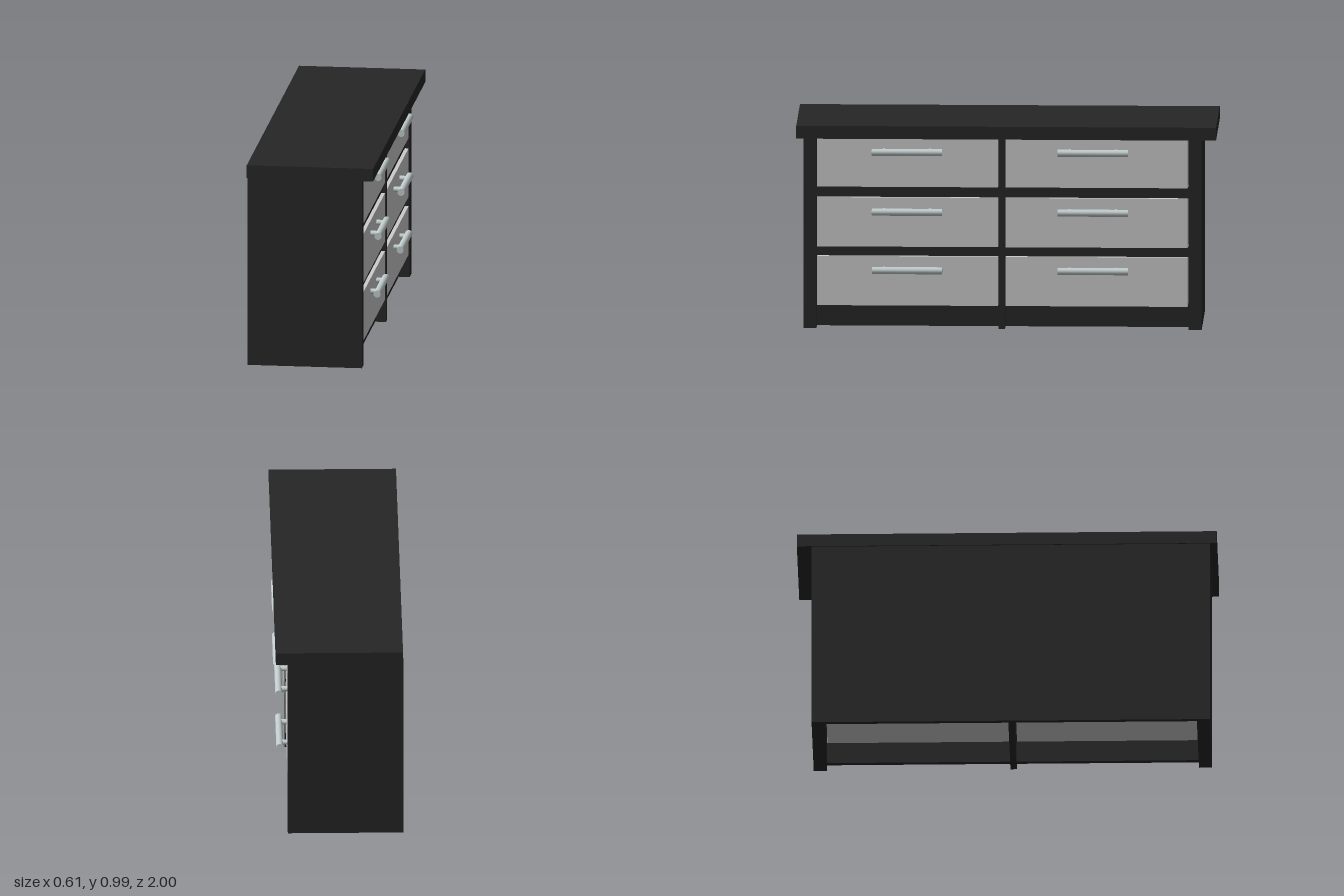
import * as THREE from 'three';

const dark = new THREE.MeshStandardMaterial({ color: 0x262626 });
const grey = new THREE.MeshStandardMaterial({ color: 0xcccccc });
const metal = new THREE.MeshStandardMaterial({ color: 0xc2cccc });

// Box given by its limits on each axis
function box(name, material, [x0, x1], [y0, y1], [z0, z1]) {
  const mesh = new THREE.Mesh(new THREE.BoxGeometry(x1 - x0, y1 - y0, z1 - z0), material);
  mesh.position.set((x0 + x1) / 2, (y0 + y1) / 2, (z0 + z1) / 2);
  mesh.name = name;
  return mesh;
}

// Bar handle along z, held by two short posts
function makeHandle(x, y, z, faceX) {
  const handle = new THREE.Group();
  handle.name = 'handle';
  const bar = new THREE.Mesh(new THREE.CylinderGeometry(0.017, 0.017, 0.335, 24), metal);
  bar.name = 'handleBar';
  bar.rotation.x = Math.PI / 2;
  bar.position.set(x, y, z);
  handle.add(bar);
  for (const side of [-1, 1]) {
    const length = x - faceX;
    const post = new THREE.Mesh(new THREE.CylinderGeometry(0.013, 0.013, length, 20), metal);
    post.name = 'handlePost';
    post.rotation.z = Math.PI / 2;
    post.position.set(faceX + length / 2, y, z + side * 0.11);
    handle.add(post);
  }
  return handle;
}

export function createModel() {
  const model = new THREE.Group();
  model.name = 'dresser';

  // Carcass: top, sides, divider and back
  model.add(
    box('top', dark, [-0.303, 0.303], [0.925, 0.987], [-1, 1]),
    box('sidePanel', dark, [-0.303, 0.245], [0, 0.922], [0.905, 0.967]),
    box('sidePanel', dark, [-0.305, 0.245], [0, 0.922], [-0.93, -0.866]),
    box('divider', dark, [-0.285, 0.245], [0, 0.925], [0.007, 0.037]),
    box('backPanel', dark, [-0.303, -0.28], [0, 0.922], [-0.866, 0.905])
  );

  // Two columns of three drawers, with rails between and a recessed kick board
  const columns = [
    { z: [0.037, 0.905], handleZ: 0.473 },
    { z: [-0.866, 0.007], handleZ: -0.412 }
  ];
  const rows = [
    { y: [0.11, 0.348], handleX: 0.277, handleY: 0.285 },
    { y: [0.394, 0.632], handleX: 0.282, handleY: 0.568 },
    { y: [0.683, 0.921], handleX: 0.282, handleY: 0.857 }
  ];
  const faceX = 0.24;
  for (const { z, handleZ } of columns) {
    const drawerZ = [z[0] + 0.003, z[1] - 0.003];
    rows.forEach(({ y, handleX, handleY }, i) => {
      const drawer = new THREE.Group();
      drawer.name = 'drawer';
      drawer.add(
        box('drawerBox', grey, [-0.279, faceX], y, drawerZ),
        makeHandle(handleX, handleY, handleZ, faceX)
      );
      model.add(drawer);
      if (i > 0) model.add(box('rail', dark, [0.19, 0.222], [rows[i - 1].y[1], y[0]], z));
    });
    model.add(box('kickBoard', dark, [0.17, 0.195], [0.005, 0.11], z));
  }
  return model;
}
